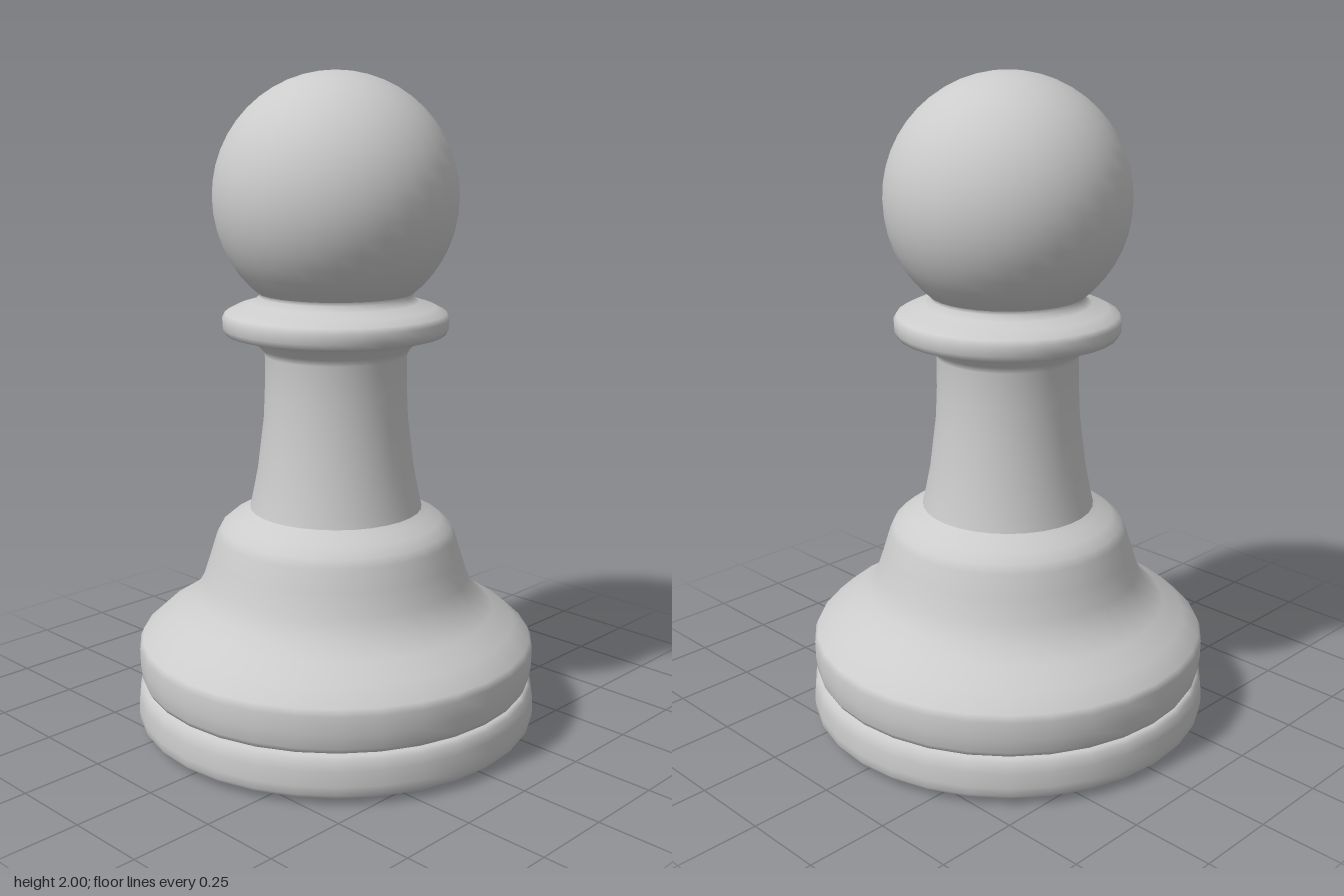
import * as THREE from 'three';

const SEGMENTS = 32;

export function createModel() {
  const group = new THREE.Group();
  const material = new THREE.MeshStandardMaterial({ color: 0xcccccc });

  // Turn a profile of [radius, height] points, listed from bottom to top
  const turn = (name, profile) => {
    const points = profile.map(([r, y]) => new THREE.Vector2(r, y));
    const mesh = new THREE.Mesh(new THREE.LatheGeometry(points, SEGMENTS), material);
    mesh.name = name;
    group.add(mesh);
  };

  // Slightly domed underside
  turn('underside', [[0, 0], [0.56, 0.015], [0.61, 0.022]]);

  // Foot disc, up to the groove
  turn('footRing', [
    [0.61, 0.022], [0.62, 0.035], [0.622, 0.06], [0.62, 0.105], [0.613, 0.135], [0.6, 0.144], [0.585, 0.147],
  ]);

  // Wide rim and bell-shaped body
  turn('bellBase', [
    [0.585, 0.147], [0.6, 0.152], [0.609, 0.168], [0.614, 0.21], [0.615, 0.265], [0.606, 0.285],
    [0.555, 0.332], [0.49, 0.372], [0.44, 0.415], [0.41, 0.472], [0.388, 0.54], [0.368, 0.605],
    [0.355, 0.63], [0.325, 0.655], [0.283, 0.678], [0.265, 0.69],
  ]);

  // Slender stem flaring into the collar
  turn('stem', [
    [0.265, 0.69], [0.258, 0.72], [0.24, 0.81], [0.23, 0.89], [0.22, 0.97], [0.216, 1.06],
    [0.215, 1.165], [0.225, 1.185], [0.262, 1.224],
  ]);

  // Rounded collar and the neck above it
  turn('collar', [
    [0.262, 1.224], [0.31, 1.226], [0.332, 1.232], [0.341, 1.25], [0.342, 1.278], [0.333, 1.294],
    [0.3, 1.311], [0.25, 1.326], [0.23, 1.342], [0.235, 1.358], [0.255, 1.378],
  ]);

  // Ball head
  const head = new THREE.Mesh(new THREE.SphereGeometry(0.366, SEGMENTS, 24), material);
  head.name = 'head';
  head.position.y = 1.634;
  group.add(head);

  return group;
}
